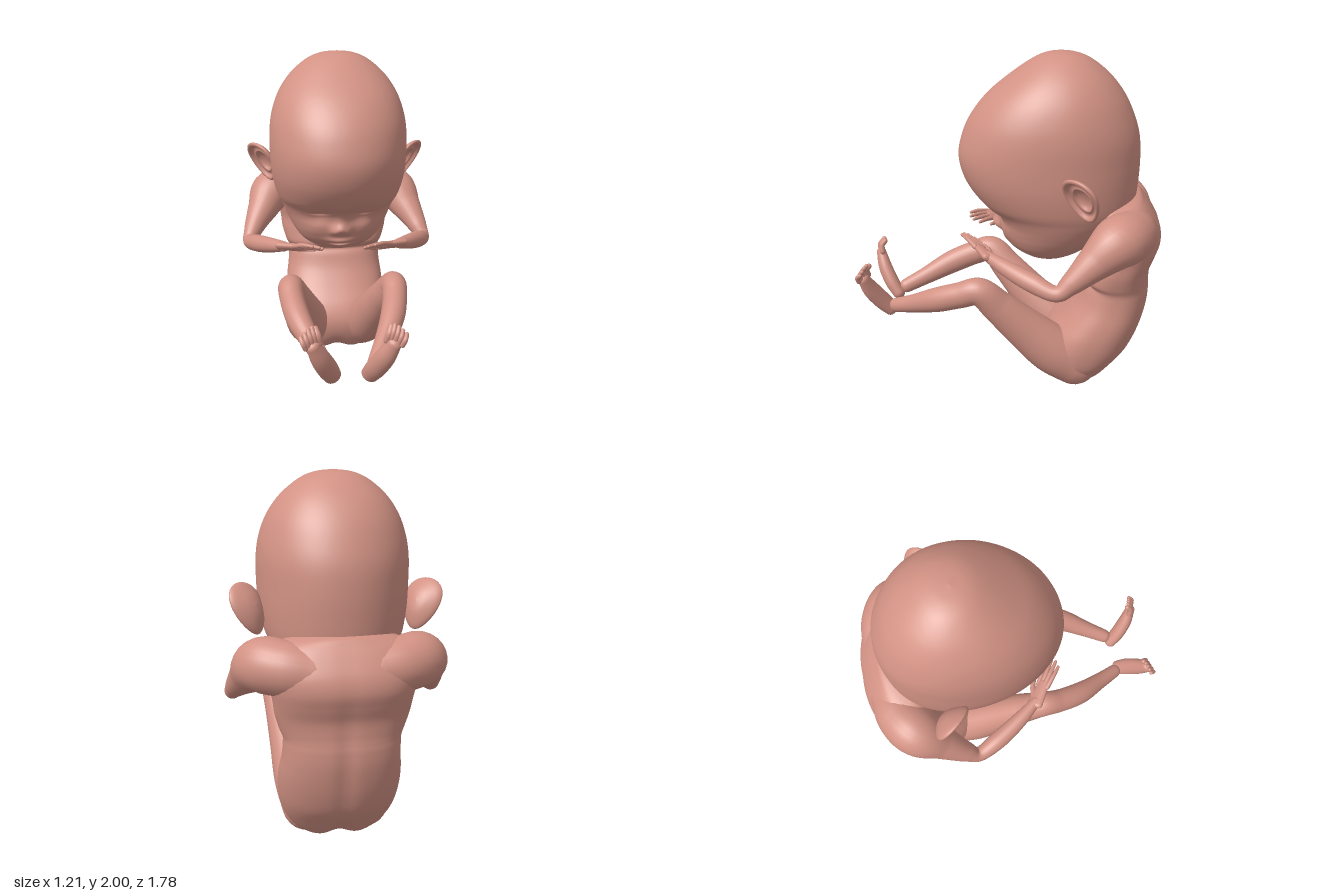
import * as THREE from 'three';

const skin = new THREE.MeshStandardMaterial({ color: 0xd29284 });
skin.name = 'skin';
const V = (x, y, z) => new THREE.Vector3(x, y, z);
const bump = (d, s) => Math.exp(-(d * d) / (2 * s * s));

// Smooth closed skin over a grid: u runs along the body, v runs around it
function surface(rows, cols, fn) {
  const pos = [], index = [];
  for (let i = 0; i <= rows; i++)
    for (let j = 0; j < cols; j++) pos.push(...fn(i / rows, (j / cols) * Math.PI * 2).toArray());
  for (let i = 0; i < rows; i++)
    for (let j = 0; j < cols; j++) {
      const k = (j + 1) % cols;
      const a = i * cols + j, b = i * cols + k, c = b + cols, d = a + cols;
      index.push(a, b, c, a, c, d);
    }
  const g = new THREE.BufferGeometry();
  g.setAttribute('position', new THREE.Float32BufferAttribute(pos, 3));
  g.setIndex(index);
  g.computeVertexNormals();
  return g;
}

// Stack of horizontal sections [y, front z, back z, half width], reshaped by a rule
function stack(sections, rows, cols, power, shape) {
  const front = new THREE.CatmullRomCurve3(sections.map(([y, f, , w]) => V(w, y, f)), false, 'catmullrom');
  const back = new THREE.CatmullRomCurve3(sections.map(([y, , b]) => V(0, y, b)), false, 'catmullrom');
  const soft = (n) => Math.sign(n) * Math.pow(Math.abs(n), power);
  return surface(rows, cols, (u, a) => {
    const f = front.getPoint(u), b = back.getPoint(u);
    const mid = (f.z + b.z) / 2, half = (f.z - b.z) / 2;
    const p = V(f.x * soft(Math.sin(a)), f.y, mid + half * soft(Math.cos(a)));
    shape(p, Math.cos(a));
    return p;
  });
}

// Round-ended limb through [x, y, z, radius] points; wide stretches it along an axis
function limb(points, side, axis, wide = 1, rows = 40, cols = 24) {
  const path = new THREE.CatmullRomCurve3(points.map((p) => V(p[0] * side, p[1], p[2])));
  const radii = new THREE.CatmullRomCurve3(points.map((p, i) => V(i, p[3], 0)), false, 'catmullrom');
  const w = V(axis[0] * side, axis[1], axis[2]);
  const cap = 6;
  return surface(rows + cap * 2, cols, (u, a) => {
    const i = Math.round(u * (rows + cap * 2)) - cap;
    const t = THREE.MathUtils.clamp(i / rows, 0, 1);
    const over = i < 0 ? i / cap : i > rows ? (i - rows) / cap : 0;
    const T = path.getTangent(t);
    const N = w.clone().addScaledVector(T, -w.dot(T)).normalize();
    const B = T.clone().cross(N);
    const r = radii.getPoint(t).y, ring = r * Math.cos((over * Math.PI) / 2);
    return path.getPoint(t)
      .addScaledVector(T, r * Math.sin((over * Math.PI) / 2))
      .addScaledVector(N, ring * wide * Math.cos(a))
      .addScaledVector(B, ring * Math.sin(a));
  });
}

function headGeometry() {
  const sections = [
    [0.79, -0.26, -0.26, 0], [0.80, -0.17, -0.31, 0.08], [0.825, -0.105, -0.37, 0.155],
    [0.86, -0.045, -0.44, 0.21], [0.90, 0.0, -0.5, 0.25], [0.95, 0.025, -0.57, 0.285],
    [1.0, 0.04, -0.63, 0.312], [1.05, 0.055, -0.67, 0.335], [1.1, 0.093, -0.71, 0.355],
    [1.17, 0.175, -0.735, 0.382], [1.29, 0.255, -0.745, 0.405], [1.42, 0.287, -0.747, 0.412],
    [1.55, 0.26, -0.735, 0.41], [1.66, 0.205, -0.7, 0.392], [1.77, 0.115, -0.645, 0.35],
    [1.87, -0.005, -0.565, 0.28], [1.95, -0.12, -0.465, 0.185], [1.987, -0.2, -0.38, 0.1],
    [2.0, -0.287, -0.287, 0],
  ];
  return stack(sections, 190, 150, 0.95, (p, facing) => {
    if (facing < 0) return;
    const { x, y } = p, ax = Math.abs(x);
    const lid = 1.105 + 1.6 * (ax - 0.14) ** 2;
    let d = 0.048 * bump(x, 0.032) * bump(y - 0.995, 0.028);         // nose tip
    d += 0.015 * bump(x, 0.026) * bump(y - 1.045, 0.035);            // nose bridge
    d += 0.02 * bump(ax - 0.04, 0.016) * bump(y - 0.98, 0.018);      // nostril wings
    d -= 0.03 * bump(ax - 0.12, 0.045) * bump(y - 1.1, 0.04);        // eye sockets
    d += 0.022 * bump(ax - 0.14, 0.045) * bump(y - 1.115, 0.022);    // closed lids
    d -= 0.016 * bump(ax - 0.14, 0.045) * bump(y - lid + 0.01, 0.007); // lid creases
    d += 0.022 * bump(ax - 0.17, 0.06) * bump(y - 0.99, 0.05);       // cheeks
    d += 0.022 * bump(x, 0.055) * bump(y - 0.91, 0.015);             // upper lip
    d += 0.02 * bump(x, 0.045) * bump(y - 0.872, 0.014);             // lower lip
    d -= 0.016 * bump(x, 0.055) * bump(y - 0.888 - x * x, 0.006);    // mouth line
    d += 0.012 * bump(x, 0.05) * bump(y - 0.83, 0.015);              // chin
    p.z += d * facing;
  });
}

function torsoGeometry() {
  const sections = [
    [0.0, -0.43, -0.43, 0], [0.01, -0.33, -0.54, 0.15], [0.06, -0.27, -0.6, 0.24],
    [0.15, -0.23, -0.67, 0.3], [0.25, -0.22, -0.745, 0.325], [0.35, -0.26, -0.79, 0.333],
    [0.45, -0.34, -0.82, 0.328], [0.55, -0.41, -0.84, 0.315], [0.63, -0.445, -0.845, 0.31],
    [0.675, -0.455, -0.842, 0.312], [0.72, -0.44, -0.84, 0.33], [0.8, -0.46, -0.845, 0.352],
    [0.88, -0.47, -0.872, 0.362], [0.96, -0.45, -0.893, 0.378], [1.04, -0.46, -0.88, 0.39],
    [1.12, -0.48, -0.835, 0.37], [1.18, -0.5, -0.79, 0.3], [1.215, -0.54, -0.75, 0.15],
    [1.22, -0.65, -0.65, 0],
  ];
  return stack(sections, 110, 96, 0.85, (p, facing) => {
    const { x, y } = p;
    const low = 1 - THREE.MathUtils.smoothstep(y, 0.02, 0.2);
    p.y += 0.035 * bump(x, 0.05) * low;                              // seat cleft
    if (facing < 0) {
      p.z += 0.014 * bump(x, 0.03) * bump(y - 0.55, 0.25) * -facing; // spine groove
    } else {
      p.z -= 0.018 * bump(y - 0.685, 0.016) * facing;                // chest fold
    }
  });
}

// Cupped ear with a rolled rim and an inner ridge, leaning out from the head
function earGeometry(side) {
  const profile = new THREE.SplineCurve([
    [0, -0.6], [0.4, -0.5], [0.8, -0.2], [0.98, 0.05], [0.97, 0.2], [0.86, 0.22], [0.74, 0.0],
    [0.62, -0.02], [0.52, 0.02], [0.4, -0.2], [0.2, -0.32], [0, -0.34],
  ].map(([r, h]) => new THREE.Vector2(r, h)));
  const g = new THREE.LatheGeometry(profile.getPoints(48).map((p) => p.setX(Math.max(p.x, 0))), 48);
  const pos = g.attributes.position;
  for (let i = 0; i < pos.count; i++) pos.setX(i, pos.getX(i) * (1 + 0.28 * pos.getZ(i)));
  const normal = V(0.66 * side, -0.43, 0.56).normalize();
  const long = V(0.38 * side, 1, 0.34);
  long.addScaledVector(normal, -long.dot(normal)).normalize();
  const short = normal.clone().cross(long);
  g.applyMatrix4(new THREE.Matrix4()
    .makeBasis(short.multiplyScalar(0.112), normal.multiplyScalar(0.085), long.multiplyScalar(0.146))
    .setPosition(0.455 * side, 1.305, -0.43));
  g.computeVertexNormals();
  return g;
}

export function createModel() {
  const model = new THREE.Group();
  model.name = 'infant';
  const add = (parent, name, geometry) => {
    const mesh = new THREE.Mesh(geometry, skin);
    mesh.name = name;
    parent.add(mesh);
  };
  add(model, 'head', headGeometry());
  add(model, 'torso', torsoGeometry());
  add(model, 'neck', limb([[0, 0.92, -0.62, 0.2], [0, 1.15, -0.5, 0.2]], 1, [1, 0, 0], 1.1));

  for (const side of [1, -1]) {
    const half = new THREE.Group();
    half.name = side > 0 ? 'leftSide' : 'rightSide';
    model.add(half);
    add(half, 'ear', earGeometry(side));

    // Arm: shoulder, elbow, wrist
    add(half, 'arm', limb([
      [0.16, 1.03, -0.73, 0.13], [0.3, 1.05, -0.695, 0.143], [0.41, 1.05, -0.62, 0.143],
      [0.48, 0.96, -0.5, 0.098], [0.54, 0.86, -0.38, 0.06], [0.56, 0.812, -0.315, 0.044],
      [0.505, 0.84, -0.18, 0.053], [0.42, 0.88, -0.03, 0.045], [0.34, 0.912, 0.085, 0.03],
    ], side, [0, 1, 0], 1, 80));

    // Hand: flat palm, four fingers and a thumb
    const across = [0.6, 0.45, 0.65];
    const inHand = (along, sideways, r, lift = 0) => [
      0.338 - 0.78 * along + 0.6 * sideways, 0.912 + 0.15 * along + 0.45 * sideways + lift,
      0.085 + 0.58 * along + 0.65 * sideways, r];
    add(half, 'palm', limb([inHand(-0.02, 0, 0.026), inHand(0.05, 0, 0.022), inHand(0.12, 0, 0.018)],
      side, across, 2, 16));
    [0.235, 0.265, 0.265, 0.24].forEach((reach, i) => {
      const s = (i - 1.5) * 0.022;
      add(half, 'finger', limb([inHand(0.1, s, 0.015), inHand(reach * 0.72, s * 1.25, 0.013, 0.006),
        inHand(reach, s * 1.4, 0.009)], side, across, 1, 14, 12));
    });
    add(half, 'thumb', limb([inHand(0.02, -0.03, 0.019), inHand(0.09, -0.07, 0.015),
      inHand(0.16, -0.08, 0.01)], side, across, 1, 14, 12));

    // Leg: hip, knee, ankle
    add(half, 'leg', limb([
      [0.17, 0.148, -0.42, 0.147], [0.2, 0.25, -0.28, 0.15], [0.235, 0.4, -0.12, 0.126],
      [0.275, 0.56, 0.035, 0.1], [0.305, 0.668, 0.145, 0.083], [0.298, 0.638, 0.25, 0.077],
      [0.262, 0.58, 0.4, 0.074], [0.19, 0.508, 0.56, 0.056], [0.132, 0.458, 0.68, 0.046],
    ], side, [1, 0, 0], 0.93, 70));

    // Foot: upright sole with five toes
    const ball = [0.8, -0.15, 0.4];
    add(half, 'foot', limb([
      [0.1, 0.42, 0.728, 0.039], [0.125, 0.485, 0.775, 0.044], [0.165, 0.575, 0.825, 0.042],
      [0.203, 0.66, 0.855, 0.03],
    ], side, ball, 1.25, 24));
    [0.8, 0.95, 0.9, 0.75, 0.6].forEach((reach, i) => {
      const s = (i - 2) * 0.022, r = i === 0 ? 0.018 : 0.0135;
      const x = 0.205 + 0.85 * s, y = 0.67 - 0.15 * s, z = 0.855 + 0.4 * s;
      add(half, 'toe', limb([[x, y, z, r], [x + 0.012, y + 0.05 * reach, z + 0.004, r],
        [x + 0.022, y + 0.085 * reach, z - 0.016, r * 0.9]], side, ball, 1, 12, 12));
    });
  }
  return model;
}
